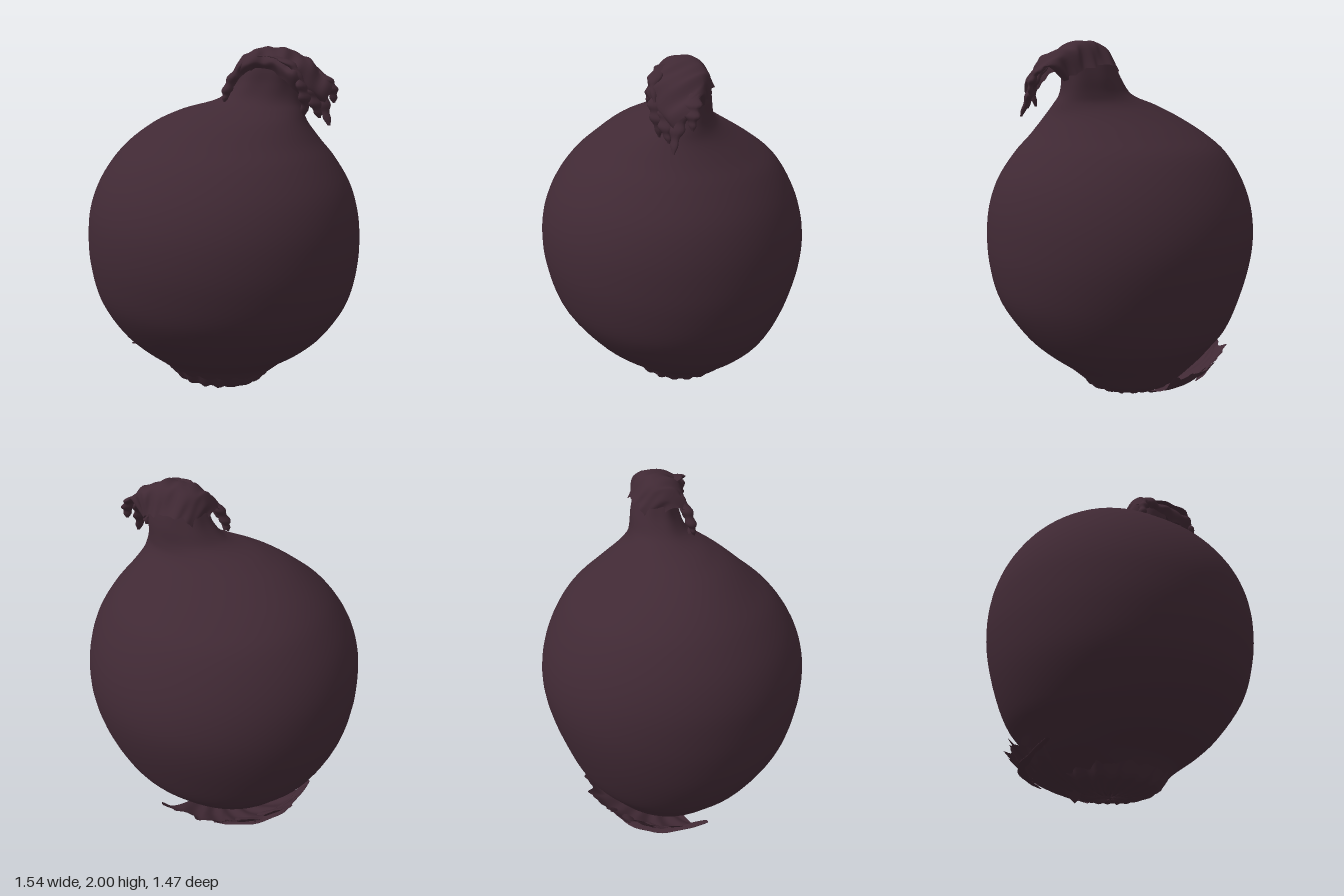
import * as THREE from 'three';

const skin = new THREE.MeshStandardMaterial({ color: 0x402934, side: THREE.DoubleSide });
skin.name = 'dark purple skin';

// Grid surface: point(u, v) with u, v in 0..1; closed joins the u ends
function surface(name, nu, nv, point, closed = false) {
  const pos = [], idx = [];
  const cols = closed ? nu : nu + 1;
  for (let j = 0; j <= nv; j++)
    for (let i = 0; i < cols; i++) pos.push(...point(i / nu, j / nv));
  for (let j = 0; j < nv; j++)
    for (let i = 0; i < nu; i++) {
      const a = j * cols + i, b = j * cols + (i + 1) % cols;
      idx.push(a, a + cols, b, b, a + cols, b + cols);
    }
  const g = new THREE.BufferGeometry();
  g.setAttribute('position', new THREE.Float32BufferAttribute(pos, 3));
  g.setIndex(idx);
  g.computeVertexNormals();
  const mesh = new THREE.Mesh(g, skin);
  mesh.name = name;
  return mesh;
}

const curve = pts => new THREE.CatmullRomCurve3(pts.map(p => new THREE.Vector3(...p)));

// Thin sheet through rows of control points, with small wrinkles
function sheet(name, rows, wrinkle, nu = 60, nv = 24) {
  const curves = rows.map(curve);
  return surface(name, nu, nv, (u, v) => {
    const p = new THREE.CatmullRomCurve3(curves.map(c => c.getPoint(u))).getPoint(v);
    const w = wrinkle * (Math.sin(u * 31 + v * 5) + 0.7 * Math.sin(u * 53 - v * 9));
    return [p.x + w * 0.3, p.y + w * 0.6, p.z + w];
  });
}

// Flattened, crumpled and tapering dry strand
function strand(name, pts, width, thick) {
  const c = curve(pts);
  return surface(name, 12, 24, (u, v) => {
    const p = c.getPoint(v), a = u * Math.PI * 2;
    const s = (0.25 + 0.75 * Math.sin(Math.PI * Math.min(1, v * 0.9 + 0.12))) * (1 + 0.2 * Math.sin(v * 23));
    const twist = v * 1.2, ex = Math.cos(a) * thick * s, ez = Math.sin(a) * width * s;
    return [p.x + ex * Math.cos(twist) - ez * Math.sin(twist), p.y, p.z + ex * Math.sin(twist) + ez * Math.cos(twist)];
  }, true);
}

// Bulb and neck sections: y, left x, right x, back z, front z
const sections = [
  [0.035, 0.0, 0.02, -0.03, -0.01], [0.04, -0.14, 0.14, -0.17, 0.05], [0.09, -0.28, 0.24, -0.31, 0.17],
  [0.2, -0.45, 0.37, -0.42, 0.285], [0.3, -0.545, 0.5, -0.51, 0.42], [0.4, -0.63, 0.6, -0.585, 0.52],
  [0.6, -0.725, 0.72, -0.665, 0.66], [0.8, -0.765, 0.765, -0.72, 0.72], [0.95, -0.77, 0.77, -0.735, 0.735],
  [1.1, -0.755, 0.755, -0.715, 0.72], [1.25, -0.705, 0.71, -0.66, 0.665], [1.4, -0.61, 0.62, -0.565, 0.56],
  [1.5, -0.51, 0.54, -0.44, 0.445], [1.6, -0.36, 0.47, -0.285, 0.32], [1.66, -0.22, 0.445, -0.2, 0.22],
  [1.72, -0.02, 0.425, -0.16, 0.14], [1.8, 0.06, 0.42, -0.145, 0.11], [1.88, 0.1, 0.42, -0.12, 0.1],
  [1.94, 0.14, 0.41, -0.09, 0.08], [1.975, 0.24, 0.34, -0.02, 0.01],
];

function bulb() {
  const low = curve(sections.map(s => [s[1], s[0], s[3]]));
  const high = curve(sections.map(s => [s[2], s[0], s[4]]));
  return surface('bulb', 72, 90, (u, v) => {
    const a = low.getPoint(v), b = high.getPoint(v), t = u * Math.PI * 2;
    // shallow pleats appear only on the neck
    const k = 1 + 0.025 * THREE.MathUtils.smoothstep(a.y, 1.68, 1.85) * Math.sin(t * 7);
    return [(a.x + b.x) / 2 + Math.cos(t) * k * (b.x - a.x) / 2, (a.y + b.y) / 2,
      (a.z + b.z) / 2 + Math.sin(t) * k * (b.z - a.z) / 2];
  }, true);
}

// Ragged band of loose skin round the base between two angles
function baseSkin(name, a0, a1, rows, jag) {
  return surface(name, 80, 10, (u, v) => {
    const a = a0 + (a1 - a0) * u, x = v * (rows.length - 1);
    const i = Math.min(rows.length - 2, Math.floor(x)), f = x - i;
    const [r, y] = [0, 1].map(k => rows[i][k] * (1 - f) + rows[i + 1][k] * f);
    const n = jag * v * (Math.sin(a * 13) + 0.6 * Math.sin(a * 29 + 1) + 0.4 * Math.sin(a * 47));
    return [-0.03 + Math.cos(a) * (r + n), y + n * 0.6 + 0.008 * Math.sin(a * 19 + v * 6), -0.05 + Math.sin(a) * (r + n) * 0.93];
  });
}

export function createModel() {
  const model = new THREE.Group();
  model.name = 'onion';
  model.add(bulb());

  // Dry neck skin folded over the top and hanging to the front left
  const top = new THREE.Group();
  top.name = 'driedTop';
  top.add(sheet('foldedSkin', [
    [[0.1, 1.78, -0.08], [0.16, 1.86, -0.13], [0.3, 1.86, -0.14], [0.41, 1.82, -0.1], [0.45, 1.78, -0.04]],
    [[0.07, 1.86, 0.03], [0.13, 1.95, -0.03], [0.28, 1.985, -0.06], [0.43, 1.94, -0.07], [0.54, 1.85, -0.02]],
    [[0.06, 1.84, 0.09], [0.13, 1.95, 0.06], [0.29, 1.98, 0.06], [0.46, 1.92, 0.08], [0.6, 1.8, 0.05]],
    [[0.04, 1.74, 0.14], [0.12, 1.89, 0.11], [0.28, 1.92, 0.13], [0.42, 1.86, 0.21], [0.58, 1.73, 0.12]],
    [[0.05, 1.72, 0.12], [0.13, 1.85, 0.09], [0.27, 1.88, 0.1], [0.41, 1.79, 0.17], [0.55, 1.68, 0.11]],
  ], 0.006));
  top.add(strand('frontCurl', [[0.13, 1.92, 0.08], [0.08, 1.84, 0.11], [0.05, 1.76, 0.13], [0.04, 1.71, 0.14]], 0.03, 0.025));
  top.add(strand('topFold', [[0.16, 1.94, 0.06], [0.28, 1.95, 0.11], [0.4, 1.91, 0.18], [0.47, 1.82, 0.19]], 0.035, 0.03));
  const tips = [
    [[0.5, 1.88, 0.04], [0.55, 1.78, 0.08], [0.57, 1.69, 0.11], [0.6, 1.6, 0.13]],
    [[0.42, 1.9, 0.15], [0.46, 1.81, 0.18], [0.48, 1.73, 0.18], [0.47, 1.65, 0.17]],
    [[0.5, 1.88, 0.0], [0.57, 1.83, 0.03], [0.6, 1.77, 0.04], [0.61, 1.71, 0.04]],
    [[0.44, 1.86, 0.12], [0.5, 1.78, 0.14], [0.53, 1.7, 0.15], [0.55, 1.64, 0.14]],
  ];
  tips.forEach((p, i) => top.add(strand('hangingTip' + (i + 1), p, 0.04, 0.022)));
  model.add(top);

  // Root plate and the torn skin at the back right of the base
  const base = new THREE.Group();
  base.name = 'rootEnd';
  base.add(baseSkin('rootPlate', 0, Math.PI * 2, [[0.02, 0.035], [0.17, 0.04], [0.27, 0.08], [0.32, 0.15]], 0.008));
  base.add(baseSkin('tornSkin', Math.PI * 0.98, Math.PI * 1.6, [[0.22, 0.05], [0.36, 0.1], [0.46, 0.15], [0.53, 0.22]], 0.018));
  base.add(baseSkin('tornPatch', Math.PI * 1.12, Math.PI * 1.36, [[0.42, 0.13], [0.5, 0.19], [0.56, 0.26]], 0.016));
  base.add(strand('crustRoll', [[-0.56, 0.22, 0.02], [-0.51, 0.17, -0.16], [-0.43, 0.15, -0.3], [-0.28, 0.13, -0.4], [-0.16, 0.12, -0.44]], 0.025, 0.025));
  const spike = new THREE.Mesh(new THREE.ConeGeometry(0.08, 0.08, 10), skin);
  spike.name = 'rootTip';
  spike.rotation.x = Math.PI;
  spike.position.set(-0.17, 0.04, -0.17);
  base.add(spike);
  model.add(base);
  return model;
}
